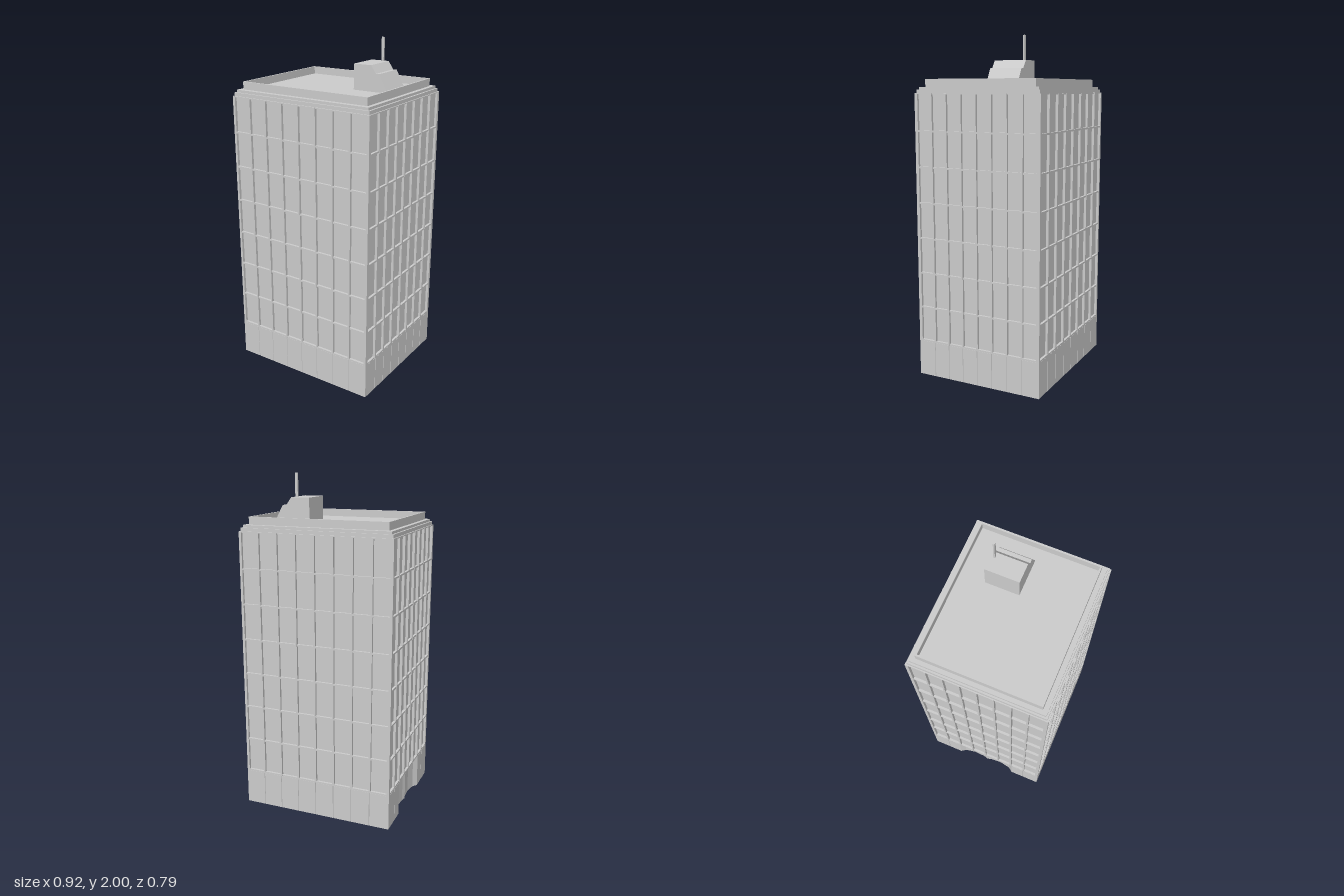
import * as THREE from 'three';

const X = 0.46, Z = 0.395;          // half width, half depth
const BASE = 0.21, TOP = 1.68;      // top of the plinth, top of the facade
const INSET = 0.015, BAR = 0.011;   // window recess, bar thickness
const COLS = 8, ROWS = 7;
const PITCH_X = 0.1135, PITCH_Z = 0.0954;

const material = new THREE.MeshStandardMaterial({ color: 0xcccccc, flatShading: true });

function add(parent, name, geometry, x = 0, y = 0, z = 0) {
  const mesh = new THREE.Mesh(geometry, material);
  mesh.name = name;
  mesh.position.set(x, y, z);
  parent.add(mesh);
  return mesh;
}

// box given by its sizes, centre in plan and bottom height
function block(parent, name, w, h, d, x, y, z) {
  return add(parent, name, new THREE.BoxGeometry(w, h, d), x, y + h / 2, z);
}

function rectangle(hx, hz, PathType = THREE.Shape) {
  return new PathType([[-hx, -hz], [hx, -hz], [hx, hz], [-hx, hz]].map(p => new THREE.Vector2(...p)));
}

// plan shape raised straight up
function raise(shape, height) {
  return new THREE.ExtrudeGeometry(shape, { depth: height, bevelEnabled: false }).rotateX(-Math.PI / 2);
}

// plinth plan: fine joints below the mullions, curved entrance recess on the right side
function plinthShape() {
  const points = [];
  const corners = [[-X, -Z], [X, -Z], [X, Z], [-X, Z]];
  const recess = [[-0.2, 0], [-0.17, 0.022], [-0.1, 0.034], [-0.03, 0.03], [0, 0.022],
    [0.03, 0.03], [0.1, 0.034], [0.17, 0.022], [0.2, 0]];
  corners.forEach(([ax, ay], side) => {
    const [bx, by] = corners[(side + 1) % 4];
    const length = Math.hypot(bx - ax, by - ay);
    const ux = (bx - ax) / length, uy = (by - ay) / length;
    const mark = (t, depth) => points.push(new THREE.Vector2(
      (ax + bx) / 2 + ux * t - uy * depth, (ay + by) / 2 + uy * t + ux * depth));
    const joint = t => [[-0.002, 0], [0, 0.004], [0.002, 0]].forEach(([o, d]) => mark(t + o, d));
    const pitch = side % 2 ? PITCH_Z : PITCH_X;
    points.push(new THREE.Vector2(ax, ay));
    for (let i = 1; i < COLS; i++) {
      const t = (i - COLS / 2) * pitch;
      if (side < 3 || Math.abs(t) > 0.22) joint(t);
      else if (i === COLS / 2) recess.forEach(p => mark(...p));
    }
  });
  return new THREE.Shape(points);
}

// bars of one facade, facing +z at the given distance from the centre
function facade(name, half, distance, pitch, angle) {
  const group = new THREE.Group();
  group.name = name;
  const z = distance - INSET / 2;
  for (let i = 0; i <= COLS; i++) {
    const x = (i - COLS / 2) * pitch;
    const edge = i === 0 || i === COLS;
    const inner = COLS / 2 * pitch - BAR / 2;
    const w = edge ? half - inner : BAR;
    block(group, edge ? 'cornerPost' : 'mullion', w, TOP - BASE, INSET,
      edge ? Math.sign(x) * (half + inner) / 2 : x, BASE, z);
  }
  const rowPitch = (TOP - BASE - 0.006) / ROWS;
  for (let j = 0; j <= ROWS; j++) {
    const h = j === ROWS ? 0.006 : 0.010;
    const y = j === 0 ? BASE : BASE + j * rowPitch - (j === ROWS ? 0 : 0.003);
    block(group, 'floorBand', 2 * half - 0.002, h, INSET - 0.001, 0, y, z - 0.0005);
  }
  group.rotation.y = angle;
  return group;
}

export function createModel() {
  const model = new THREE.Group();
  model.name = 'officeTower';

  // body
  add(model, 'plinth', raise(plinthShape(), BASE));
  block(model, 'windowWalls', 2 * (X - INSET), TOP - BASE, 2 * (Z - INSET), 0, BASE, 0);
  model.add(
    facade('frontFacade', X, Z, PITCH_X, 0),
    facade('backFacade', X, Z, PITCH_X, Math.PI),
    facade('leftFacade', Z, X, PITCH_Z, Math.PI / 2),
    facade('rightFacade', Z, X, PITCH_Z, -Math.PI / 2));

  // stepped cornice and parapet
  block(model, 'lowerCornice', 0.905, 0.02, 0.772, 0, TOP, 0);
  block(model, 'upperCornice', 0.884, 0.015, 0.752, 0, TOP + 0.02, 0);
  const parapet = rectangle(0.418, 0.348);
  parapet.holes.push(rectangle(0.408, 0.338, THREE.Path));
  add(model, 'parapet', raise(parapet, 0.046), 0, 1.714, 0);

  // roof house with stepped slope
  const profile = new THREE.Shape([[0.112, 1.71], [0.338, 1.71], [0.28, 1.818], [0.257, 1.818],
    [0.225, 1.863], [0.112, 1.863]].map(p => new THREE.Vector2(...p)));
  add(model, 'roofHouse', new THREE.ExtrudeGeometry(profile, { depth: 0.196, bevelEnabled: false }), 0, 0, -0.194);
  block(model, 'mast', 0.016, 0.14, 0.009, 0.199, 1.86, -0.172);

  return model;
}
